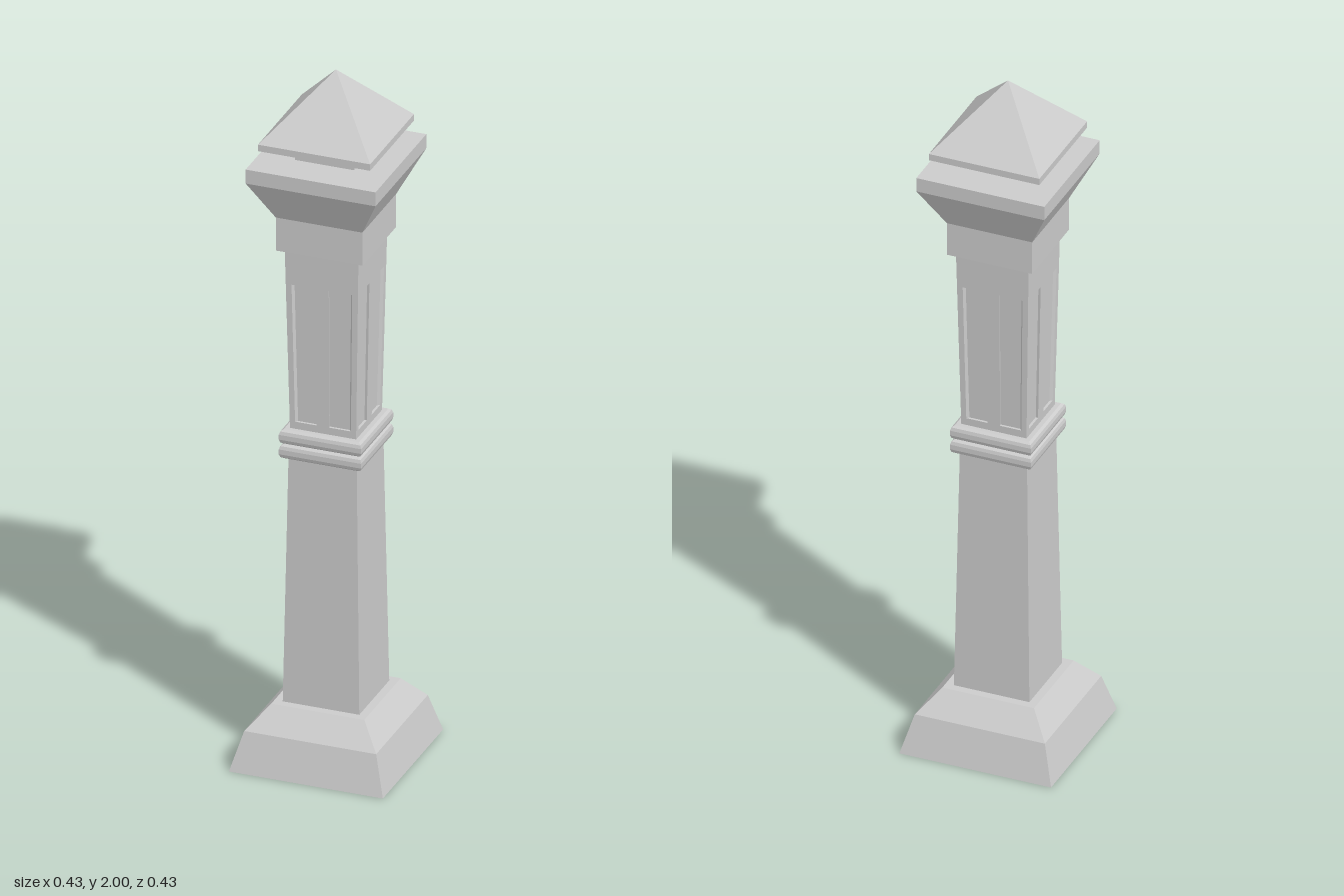
import * as THREE from 'three';

const material = new THREE.MeshStandardMaterial({ color: 0xcccccc, flatShading: true });

// Square solid from [half width, height] pairs, bottom to top, closed at both ends
function squareStack(name, profile) {
  const closed = [[0, profile[0][1]], ...profile, [0, profile[profile.length - 1][1]]];
  const points = closed.map(([half, y]) => new THREE.Vector2(half * Math.SQRT2, y));
  const geometry = new THREE.LatheGeometry(points, 4, Math.PI / 4).toNonIndexed();
  geometry.computeVertexNormals();
  const mesh = new THREE.Mesh(geometry, material);
  mesh.name = name;
  return mesh;
}

// Upper shaft: widens slightly towards the top
const BOTTOM = 0.96, TOP = 1.51, DEPTH = 0.007;
const halfAt = (y) => THREE.MathUtils.mapLinear(y, BOTTOM, TOP, 0.093, 0.104);

function rectangle(PathType, u0, u1, y0, y1) {
  return new PathType([[u0, y0], [u1, y0], [u1, y1], [u0, y1]].map(([u, y]) => new THREE.Vector2(u, y)));
}

// One face of the upper shaft with two openings, tapered and mitred at the corners
function panelFaceGeometry() {
  const shape = rectangle(THREE.Shape, -1, 1, BOTTOM, TOP);
  for (const [u0, u1] of [[-0.84, -0.19], [0.19, 0.84]]) {
    shape.holes.push(rectangle(THREE.Path, u0, u1, 0.995, 1.4));
  }
  const geometry = new THREE.ExtrudeGeometry(shape, { depth: DEPTH, bevelEnabled: false });
  const p = geometry.attributes.position;
  for (let i = 0; i < p.count; i++) {
    const distance = halfAt(p.getY(i)) - DEPTH + p.getZ(i);
    p.setXYZ(i, p.getX(i) * distance, p.getY(i), distance);
  }
  geometry.computeVertexNormals();
  return geometry;
}

export function createModel() {
  const group = new THREE.Group();
  group.name = 'squarePillar';

  // Foot and lower shaft
  group.add(squareStack('base', [[0.217, 0], [0.186, 0.11], [0.131, 0.175]]));
  group.add(squareStack('lowerShaft', [[0.108, 0.17], [0.096, 0.9]]));

  // Two rounded bands around the waist
  for (const y of [0.889, 0.932]) {
    group.add(squareStack('band', [
      [0.106, y], [0.113, y + 0.005], [0.116, y + 0.014],
      [0.116, y + 0.028], [0.113, y + 0.037], [0.106, y + 0.042],
    ]));
  }

  // Recess floor and the four framed faces
  group.add(squareStack('recessedCore', [[halfAt(BOTTOM) - DEPTH, BOTTOM], [halfAt(TOP) - DEPTH, TOP]]));
  const faceGeometry = panelFaceGeometry();
  for (let i = 0; i < 4; i++) {
    const face = new THREE.Mesh(faceGeometry, material);
    face.name = 'panelFace';
    face.rotation.y = (i * Math.PI) / 2;
    group.add(face);
  }

  // Flared capital, neck and pyramid cap
  group.add(squareStack('capital', [[0.122, 1.503], [0.122, 1.6], [0.183, 1.717], [0.183, 1.758]]));
  group.add(squareStack('neck', [[0.083, 1.75], [0.083, 1.81]]));
  group.add(squareStack('pyramidCap', [[0.158, 1.805], [0.158, 1.824], [0, 2]]));
  return group;
}
